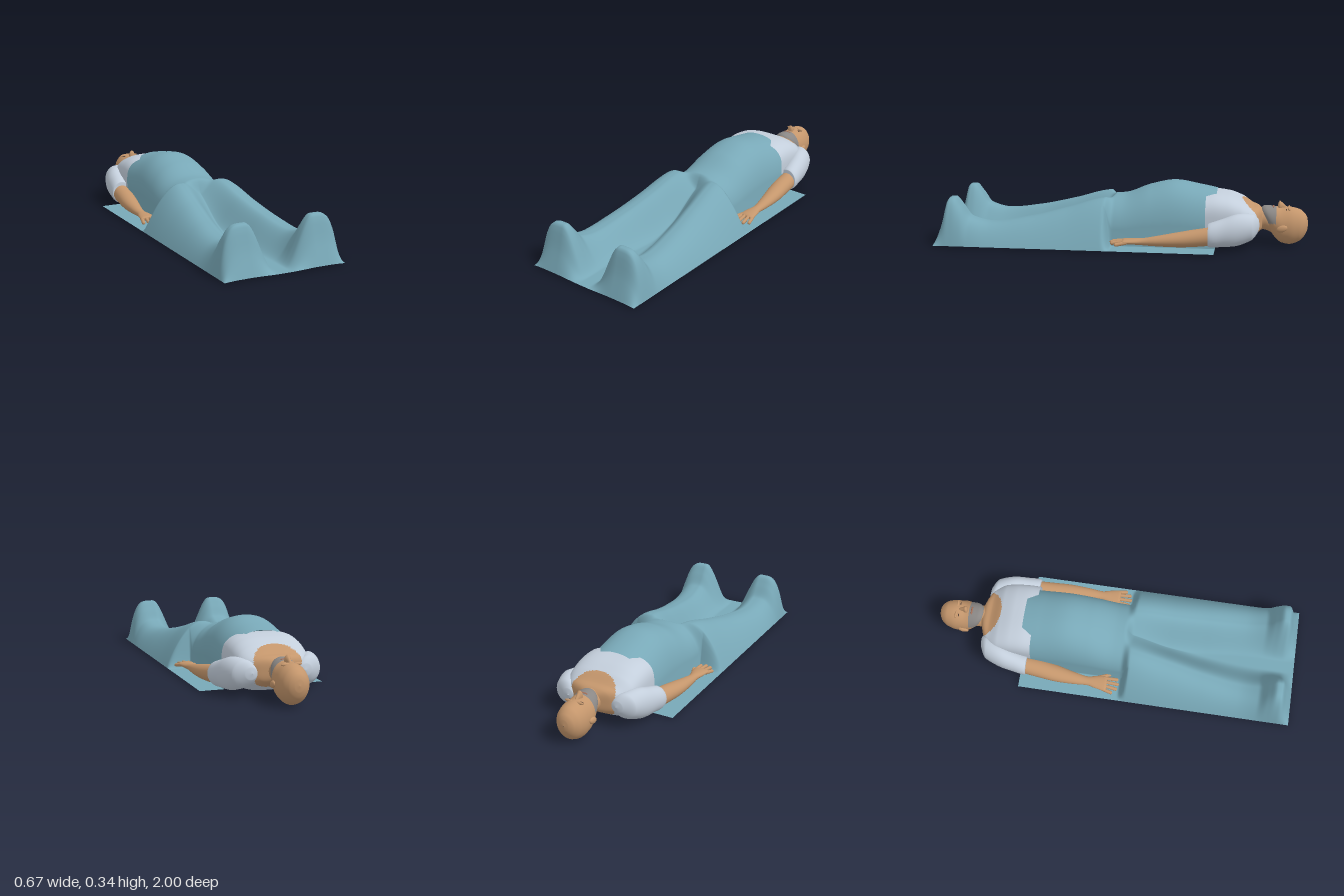
import * as THREE from 'three';

const mat = (name, color, side = THREE.FrontSide) => {
  const m = new THREE.MeshStandardMaterial({ color, side });
  m.name = name;
  return m;
};

// Smooth monotone interpolation through keys [position, value, value, ...]
function sample(keys, p, k) {
  const n = keys.length;
  let i = 0;
  while (i < n - 2 && p > keys[i + 1][0]) i++;
  const slope = j => (keys[j + 1][k] - keys[j][k]) / (keys[j + 1][0] - keys[j][0]);
  const tangent = j => {
    if (j === 0) return slope(0);
    if (j === n - 1) return slope(n - 2);
    const a = slope(j - 1), b = slope(j);
    return a * b <= 0 ? 0 : 2 * a * b / (a + b);
  };
  const d = keys[i + 1][0] - keys[i][0];
  const t = THREE.MathUtils.clamp((p - keys[i][0]) / d, 0, 1);
  const t2 = t * t, t3 = t2 * t;
  return (2 * t3 - 3 * t2 + 1) * keys[i][k] + (t3 - 2 * t2 + t) * d * tangent(i)
    + (3 * t2 - 2 * t3) * keys[i + 1][k] + (t3 - t2) * d * tangent(i + 1);
}

// Superellipse sections [z, cx, cy, halfWidth, halfHeight] lofted along z;
// faces chosen by isSecond(x, y, z) take the second material
function loft(keys, { side = 1, e = 1, cols = 32, sub = 5, isSecond = null } = {}) {
  const pos = [], first = [], second = [];
  const rows = (keys.length - 1) * sub;
  const pow = v => Math.sign(v) * Math.abs(v) ** e;
  for (let r = 0; r <= rows; r++) {
    const k = Math.min(Math.floor(r / sub), keys.length - 2);
    const z = THREE.MathUtils.lerp(keys[k][0], keys[k + 1][0], r / sub - k);
    const [cx, cy, hx, hy] = [1, 2, 3, 4].map(c => sample(keys, z, c));
    for (let j = 0; j < cols; j++) {
      const a = j / cols * Math.PI * 2;
      pos.push(side * cx + hx * pow(Math.cos(a)), cy + hy * pow(Math.sin(a)), z);
    }
  }
  for (let r = 0; r < rows; r++) for (let j = 0; j < cols; j++) {
    const a = r * cols + j, b = r * cols + (j + 1) % cols, c = a + cols, d = b + cols;
    const mid = [0, 1, 2].map(q => (pos[a * 3 + q] + pos[d * 3 + q]) / 2);
    (isSecond && isSecond(...mid) ? second : first).push(a, b, c, b, d, c);
  }
  const g = new THREE.BufferGeometry();
  g.setAttribute('position', new THREE.Float32BufferAttribute(pos, 3));
  g.setIndex([...first, ...second]);
  if (isSecond) {
    g.addGroup(0, first.length, 0);
    g.addGroup(first.length, second.length, 1);
  }
  g.computeVertexNormals();
  return g;
}

// Blanket keys: torso ridge height, and leg [z, ridge height, ridge x, valley height, outer roundness]
const torsoTop = [[-0.51, 0.3], [-0.42, 0.318], [-0.28, 0.34], [-0.15, 0.315], [0, 0.262], [0.1, 0.255]];
const legs = [
  [0, 0.262, 0.11, 0.2, 1.9], [0.1, 0.254, 0.13, 0.16, 1.9], [0.3, 0.2, 0.15, 0.05, 2],
  [0.5, 0.152, 0.175, 0.012, 2.2], [0.7, 0.125, 0.195, 0.008, 2.5], [0.81, 0.15, 0.2, 0.008, 3],
  [0.86, 0.215, 0.2, 0.008, 3.7], [0.9, 0.258, 0.2, 0.008, 3.7], [0.925, 0.255, 0.2, 0.008, 3.7],
  [0.96, 0.13, 0.2, 0.008, 3.5], [1, 0.012, 0.2, 0.008, 3],
];

function blanketHeight(x, z) {
  const a = Math.abs(x), base = 0.008, edge = 0.335;
  const smooth = THREE.MathUtils.smoothstep;
  const blend = smooth(z, 0.045, 0.09);
  const round = Math.max(0, 1 - (a / 0.205) ** 2.2) ** 0.35;
  const torso = base + (sample(torsoTop, z, 1) - base) * round;
  const [top, c, valley, p] = [1, 2, 3, 4].map(k => sample(legs, z, k));
  const low = Math.min(valley, top);
  const leg = a < c
    ? low + (top - low) * smooth(a, c - 0.17, c - 0.015)
    : base + (top - base) * Math.max(0, 1 - ((a - c) / (edge - c)) ** p);
  return torso + (leg - torso) * blend;
}

export function createModel() {
  const model = new THREE.Group();
  const skin = mat('skin', 0xc4966c);
  const shirt = mat('shirt cloth', 0xc3cedb, THREE.DoubleSide);
  const teal = mat('blanket cloth', 0x78a8b7, THREE.DoubleSide);
  const stubble = mat('grey stubble', 0x8a8785);
  const dark = mat('eye line', 0x5c463a);
  const lip = mat('lips', 0xa06e58);

  const add = (name, geometry, material, parent = model) => {
    const m = new THREE.Mesh(geometry, material);
    m.name = name;
    parent.add(m);
    return m;
  };
  const ellipsoid = (name, p, s, material, parent) => {
    const m = add(name, new THREE.SphereGeometry(1, 20, 14), material, parent);
    m.position.set(...p);
    m.scale.set(...s);
    return m;
  };

  // Blanket draped over torso, legs and feet
  const sheet = new THREE.PlaneGeometry(0.67, 1.51, 134, 180).rotateX(-Math.PI / 2).translate(0, 0, 0.245);
  const sp = sheet.attributes.position;
  for (let i = 0; i < sp.count; i++) sp.setY(i, blanketHeight(sp.getX(i), sp.getZ(i)));
  sheet.computeVertexNormals();
  add('blanket', sheet, teal);

  // Upper body: shirt with a scooped neckline showing skin
  const neckline = (x, y, z) => (x / 0.13) ** 2 + ((z + 0.745) / (y > 0.13 ? 0.1 : 0.06)) ** 2 < 1;
  add('shirtTorso', loft([
    [-0.755, 0, 0.14, 0.05, 0.05], [-0.735, 0, 0.14, 0.11, 0.066], [-0.7, 0, 0.135, 0.165, 0.082],
    [-0.64, 0, 0.138, 0.192, 0.118], [-0.57, 0, 0.146, 0.198, 0.134], [-0.5, 0, 0.15, 0.2, 0.138],
    [-0.455, 0, 0.15, 0.2, 0.135],
  ], { e: 0.65, cols: 96, sub: 12, isSecond: neckline }), [shirt, skin]);

  // Neck
  add('neck', loft([
    [-0.85, 0, 0.1, 0.05, 0.05], [-0.8, 0, 0.125, 0.058, 0.058], [-0.76, 0, 0.14, 0.058, 0.06],
    [-0.73, 0, 0.14, 0.075, 0.064], [-0.7, 0, 0.14, 0.12, 0.068],
  ]), skin);

  // Head, face up
  const head = new THREE.Group();
  head.name = 'head';
  model.add(head);
  add('skull', loft([
    [-1, 0, 0.115, 0.001, 0.001], [-0.995, 0, 0.115, 0.027, 0.034], [-0.98, 0, 0.112, 0.051, 0.063],
    [-0.95, 0, 0.108, 0.07, 0.089], [-0.9, 0, 0.105, 0.08, 0.102], [-0.86, 0, 0.107, 0.08, 0.097],
    [-0.82, 0, 0.126, 0.074, 0.083], [-0.79, 0, 0.15, 0.066, 0.062], [-0.765, 0, 0.17, 0.05, 0.042],
    [-0.75, 0, 0.177, 0.03, 0.026], [-0.745, 0, 0.179, 0.001, 0.001],
  ], { cols: 64, isSecond: (x, y, z) => z > -0.83 && y > 0.125 }), [skin, stubble], head);
  add('nose', loft([
    [-0.89, 0, 0.196, 0.006, 0.007], [-0.86, 0, 0.207, 0.012, 0.022], [-0.846, 0, 0.21, 0.017, 0.029],
    [-0.838, 0, 0.208, 0.014, 0.02], [-0.834, 0, 0.205, 0.001, 0.001],
  ], { cols: 20 }), skin, head);
  ellipsoid('mouth', [0, 0.207, -0.812], [0.024, 0.006, 0.006], lip, head);
  for (const s of [-1, 1]) {
    ellipsoid('ear', [s * 0.08, 0.1, -0.86], [0.011, 0.018, 0.03], skin, head).rotation.x = 0.3;
    ellipsoid('brow', [s * 0.03, 0.2, -0.897], [0.024, 0.008, 0.007], skin, head);
    ellipsoid('eye', [s * 0.031, 0.197, -0.882], [0.013, 0.004, 0.003], dark, head);
  }

  // Sleeves, bare arms and spread hands, mirrored
  for (const side of [-1, 1]) {
    const arm = new THREE.Group();
    arm.name = side > 0 ? 'leftArm' : 'rightArm';
    model.add(arm);
    add('sleeve', loft([
      [-0.742, 0.14, 0.13, 0.002, 0.002], [-0.735, 0.145, 0.13, 0.034, 0.034], [-0.7, 0.17, 0.125, 0.066, 0.07],
      [-0.62, 0.2, 0.113, 0.065, 0.085], [-0.55, 0.216, 0.1, 0.06, 0.075], [-0.475, 0.228, 0.088, 0.055, 0.062],
      [-0.472, 0.228, 0.088, 0.002, 0.002],
    ], { side }), shirt, arm);
    add('forearm', loft([
      [-0.52, 0.225, 0.085, 0.047, 0.05], [-0.4, 0.233, 0.07, 0.05, 0.046], [-0.32, 0.243, 0.062, 0.047, 0.04],
      [-0.2, 0.255, 0.053, 0.033, 0.027], [-0.13, 0.258, 0.049, 0.025, 0.019], [-0.08, 0.258, 0.049, 0.036, 0.016],
      [-0.035, 0.26, 0.049, 0.042, 0.013], [-0.022, 0.262, 0.048, 0.034, 0.009], [-0.02, 0.262, 0.048, 0.001, 0.001],
    ], { side }), skin, arm);
    const fingers = [
      ['thumb', [0.235, 0.045, -0.09], [0.2, 0.036, -0.008]],
      ['finger', [0.23, 0.05, -0.045], [0.225, 0.04, 0.035]],
      ['finger', [0.25, 0.051, -0.04], [0.253, 0.042, 0.042]],
      ['finger', [0.272, 0.05, -0.04], [0.281, 0.04, 0.036]],
      ['finger', [0.29, 0.047, -0.05], [0.304, 0.036, 0.012]],
    ];
    for (const [name, from, to] of fingers) {
      const a = new THREE.Vector3(side * from[0], from[1], from[2]);
      const b = new THREE.Vector3(side * to[0], to[1], to[2]);
      const dir = b.clone().sub(a);
      const m = add(name, new THREE.CapsuleGeometry(0.0095, dir.length() - 0.01, 5, 12), skin, arm);
      m.position.copy(a).add(b).multiplyScalar(0.5);
      m.quaternion.setFromUnitVectors(new THREE.Vector3(0, 1, 0), dir.normalize());
    }
  }
  return model;
}
